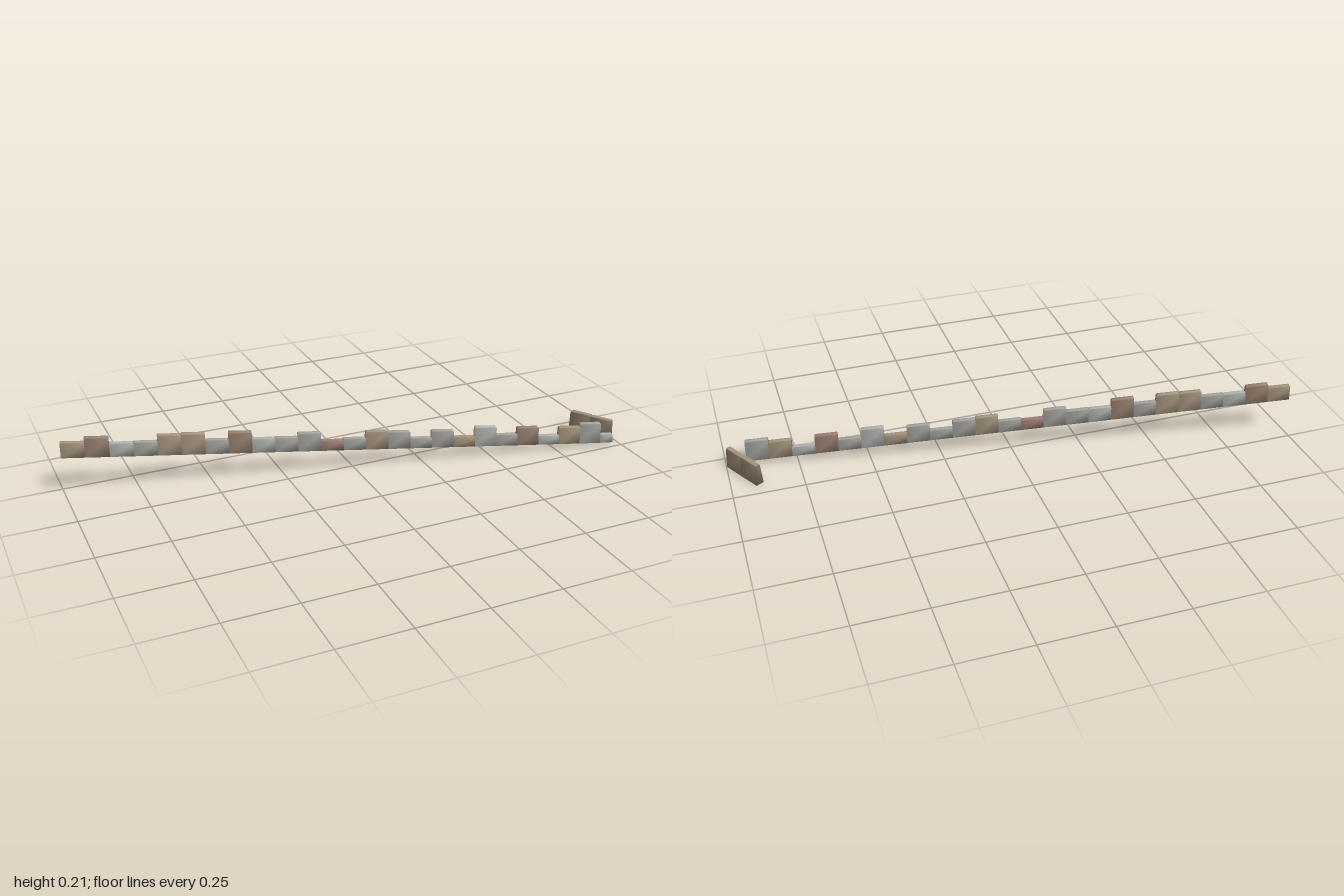
import * as THREE from 'three';
import { mergeVertices } from 'three/addons/utils/BufferGeometryUtils.js';

const TAN = 0xa8977f, BROWN = 0x9a8371, GREY = 0xa6a59f, PALE = 0xb2b4b0, RED = 0xa08078;

// One battered wall stone between two ground points, wide at the foot and eased at the top
function stone(name, p0, p1, height, color) {
  const a = new THREE.Vector3(...p0), b = new THREE.Vector3(...p1);
  const across = new THREE.Vector3(a.z - b.z, 0, b.x - a.x).normalize();
  let geo = new THREE.BoxGeometry(1, 1, 1, 1, 2, 1);
  geo.deleteAttribute('normal');
  geo.deleteAttribute('uv');
  geo = mergeVertices(geo);
  const pos = geo.attributes.position, v = new THREE.Vector3();
  for (let i = 0; i < pos.count; i++) {
    const level = Math.round((pos.getY(i) + 0.5) * 2);
    const half = [0.0155, 0.0095, 0.0075][level];
    const inset = [0, 0, 0.03][level];
    const t = pos.getX(i) < 0 ? inset : 1 - inset;
    v.lerpVectors(a, b, t).addScaledVector(across, Math.sign(pos.getZ(i)) * half);
    v.y += height * [0, 0.94, 1][level];
    pos.setXYZ(i, v.x, v.y, v.z);
  }
  geo.computeVertexNormals();
  const mesh = new THREE.Mesh(geo, new THREE.MeshStandardMaterial({ color }));
  mesh.name = name;
  return mesh;
}

export function createModel() {
  const model = new THREE.Group();
  model.name = 'stoneWall';

  // Long run of stones, descending towards the corner
  const run = new THREE.Group();
  run.name = 'longRun';
  const heights = [0.054, 0.071, 0.048, 0.050, 0.074, 0.077, 0.051, 0.078, 0.051, 0.052, 0.068, 0.036,
    0.042, 0.068, 0.064, 0.037, 0.064, 0.037, 0.074, 0.042, 0.068, 0.033, 0.065, 0.078];
  const colors = [TAN, BROWN, PALE, GREY, TAN, TAN, GREY, BROWN, PALE, GREY, GREY, RED,
    GREY, TAN, GREY, GREY, GREY, TAN, PALE, GREY, BROWN, PALE, TAN, GREY];
  const n = heights.length;
  const along = (i) => {
    const x = -0.998 + (1.923 * i) / n;
    return [x, 0.145 - 0.07 * (x + 1), 0.006 + 0.219 * x];
  };
  heights.forEach((h, i) => run.add(stone('wallStone', along(i), along(i + 1), h, colors[i])));
  model.add(run);

  // Low stone at the corner
  model.add(stone('cornerStone', along(n), [0.978, 0.005, 0.213], 0.031, PALE));

  // Short return doubling back from the corner
  const back = new THREE.Group();
  back.name = 'returnRun';
  const s = [0.985, 0.004, 0.198], m = [0.943, 0.002, 0.126], e = [0.901, 0, 0.055];
  back.add(stone('returnStone', s, m, 0.078, TAN), stone('returnStone', m, e, 0.08, TAN));
  model.add(back);

  return model;
}
